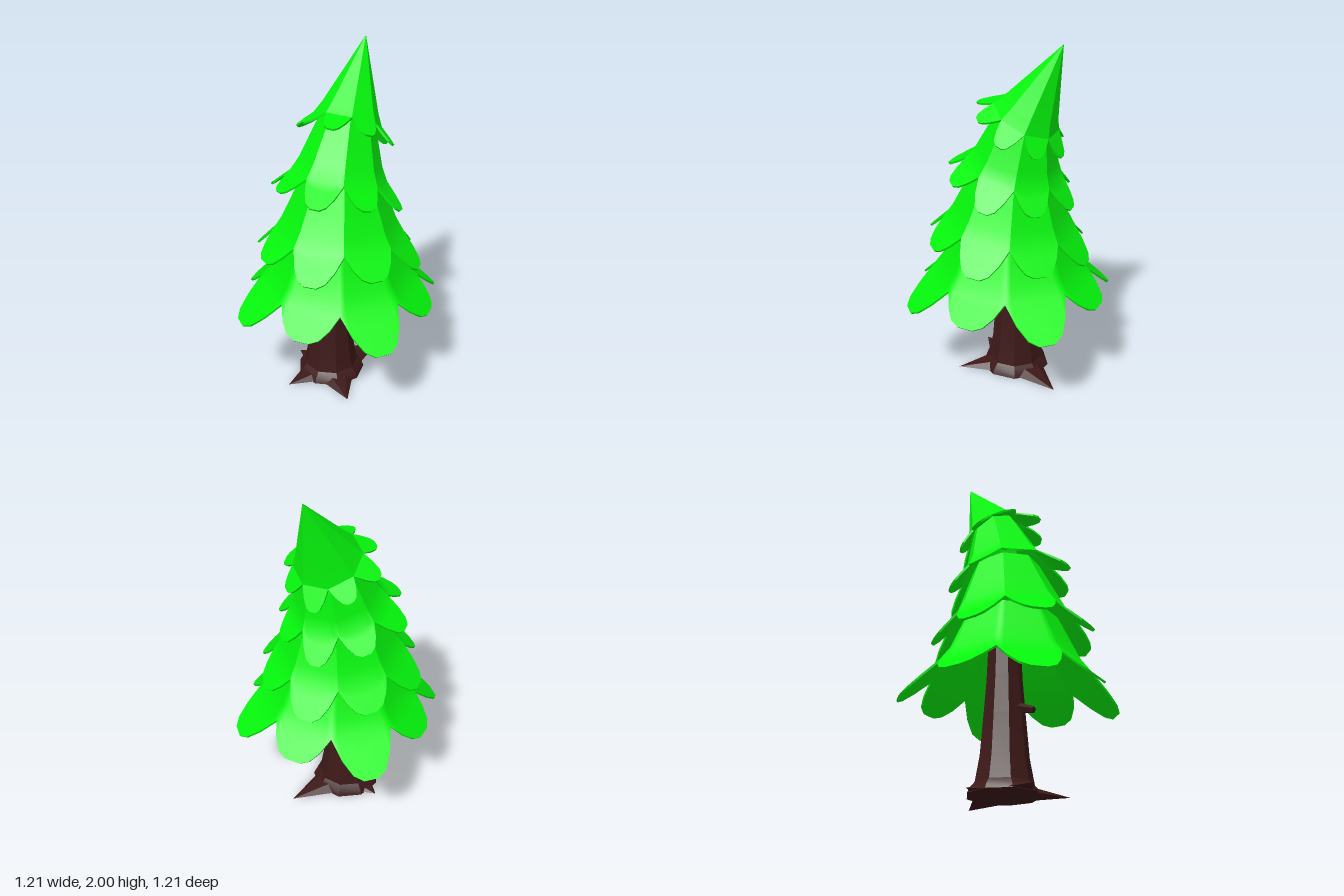
import * as THREE from 'three';
import { toCreasedNormals } from 'three/addons/utils/BufferGeometryUtils.js';

const green = new THREE.MeshStandardMaterial({ color: 0x05f50c });
const brown = new THREE.MeshStandardMaterial({ color: 0x3d1818 });
const UP = new THREE.Vector3(0, 1, 0);

// Skin closed rings of points, listed from the top outside downwards
function loft(rows, crease) {
  const n = rows[0].length, index = [];
  for (let j = 0; j < rows.length - 1; j++) {
    for (let i = 0; i < n; i++) {
      const a = j * n + i, b = j * n + (i + 1) % n;
      index.push(a, b, a + n, b, b + n, a + n);
    }
  }
  const geo = new THREE.BufferGeometry().setFromPoints(rows.flat());
  geo.setIndex(index);
  return toCreasedNormals(geo, crease);
}

function addMesh(parent, name, geo, material) {
  const mesh = new THREE.Mesh(geo, material);
  mesh.name = name;
  parent.add(mesh);
  return mesh;
}

// One ring of an eight-sided tier; k = 0 is the flat ring, k = 1 the petal rim
const SIDES = 8, HALF = Math.PI / SIDES, PHASE = 79.5 * Math.PI / 180;
const ACROSS = [-1, -0.8, -0.55, -0.25, 0.25, 0.55, 0.8];
function tierRing(r, y, k, { reach, drop, alternate }, inset = 0) {
  const ring = [];
  for (let s = 0; s < SIDES; s++) {
    const a = PHASE + s * 2 * HALF;
    const size = s % 2 ? alternate : 1;
    for (const u of ACROSS) {
      const e = k * size * (1 - Math.abs(u) ** 3);
      const out = Math.max(0, r * Math.cos(HALF) + reach * e - inset);
      const side = r * Math.sin(HALF) * u;
      ring.push(new THREE.Vector3(
        out * Math.cos(a) - side * Math.sin(a),
        y - drop * e - inset,
        out * Math.sin(a) + side * Math.cos(a)));
    }
  }
  return ring;
}

// Foliage tier: flaring octagonal cone with rounded petals and a thin underside
function foliageTier(t) {
  const rim = t.profile[t.profile.length - 1][1];
  const [topH, topR] = t.profile[0];
  const petals = [0.35, 0.7, 1];
  const rows = [
    tierRing(0, topH, 0, t),
    ...t.profile.map(([h, r]) => tierRing(r, h, 0, t)),
    ...petals.map(k => tierRing(rim, 0, k, t)),
    ...[...petals].reverse().map(k => tierRing(rim, 0, k, t, 0.008)),
    tierRing(rim, 0, 0, t, 0.008),
    tierRing(topR * 0.85, topH * 0.75, 0, t),
    tierRing(0, topH * 0.75, 0, t),
  ];
  return loft(rows, t.crease);
}

export function createModel() {
  const tree = new THREE.Group();
  tree.name = 'tree';

  // Four overlapping tiers, leaning further towards the tip
  const tiers = [
    { name: 'bottomFoliage', base: [0, 0.67, 0], axis: [0, 1, 0], turn: 0, reach: 0.195, drop: 0.175,
      alternate: 0.7, crease: 0.9, profile: [[0.34, 0.27], [0.2, 0.335], [0.08, 0.39], [0, 0.45]] },
    { name: 'lowerFoliage', base: [-0.005, 0.965, 0.005], axis: [0.06, 1, -0.07], turn: 0.07, reach: 0.115, drop: 0.12,
      alternate: 1.2, crease: 0.4, profile: [[0.38, 0.195], [0.2, 0.27], [0.08, 0.322], [0, 0.37]] },
    { name: 'upperFoliage', base: [0.002, 1.29, -0.02], axis: [0.19, 1, -0.17], turn: 0.07, reach: 0.108, drop: 0.1,
      alternate: 1.2, crease: 0.4, profile: [[0.4, 0.12], [0.25, 0.175], [0.08, 0.23], [0, 0.27]] },
    { name: 'topFoliage', base: [0.064, 1.59, -0.075], axis: [0.136, 0.41, -0.165], turn: 0.05, reach: 0.09, drop: 0.075,
      alternate: 1.15, crease: 0.4, profile: [[0.463, 0], [0.07, 0.155], [0, 0.19]] },
  ];
  for (const t of tiers) {
    const mesh = addMesh(tree, t.name, foliageTier(t), green);
    mesh.position.set(...t.base);
    mesh.quaternion.setFromUnitVectors(UP, new THREE.Vector3(...t.axis).normalize());
    mesh.rotateY(t.turn);
  }

  // Trunk, flaring at the foot
  const profile = [[0, 0], [0.2, 0], [0.19, 0.025], [0.16, 0.06], [0.135, 0.2], [0.117, 0.42], [0.1, 0.64], [0.09, 0.9], [0, 0.9]];
  const trunkGeo = new THREE.LatheGeometry(profile.map(p => new THREE.Vector2(...p)), 9);
  const trunk = addMesh(tree, 'trunk', toCreasedNormals(trunkGeo, 0.4), brown);
  trunk.position.set(-0.045, 0, -0.035);

  // Pointed roots lying on the ground, flattened underneath
  const roots = [[0.3, -0.21], [-0.33, 0.1], [-0.02, 0.31], [-0.2, -0.23]];
  for (const [x, z] of roots) {
    const dx = x + 0.045, dz = z + 0.035, length = Math.hypot(dx, dz);
    const geo = new THREE.ConeGeometry(0.16, length, 6);
    geo.translate(0, length / 2, 0).rotateZ(-Math.PI / 2).scale(1, 0.45, 1);
    const p = geo.attributes.position;
    for (let i = 0; i < p.count; i++) p.setY(i, Math.max(p.getY(i), 0) + 0.004);
    const root = addMesh(tree, 'root', toCreasedNormals(geo, 0.4), brown);
    root.position.copy(trunk.position);
    root.rotation.y = Math.atan2(-dz, dx);
  }

  // Broken branch stub on the trunk
  const stubGeo = new THREE.CylinderGeometry(0.018, 0.03, 0.12, 5);
  const stub = addMesh(tree, 'branchStub', toCreasedNormals(stubGeo, 0.4), brown);
  stub.position.set(-0.13, 0.445, 0.07);
  stub.quaternion.setFromUnitVectors(UP, new THREE.Vector3(-0.62, -0.3, 0.72).normalize());

  return tree;
}
